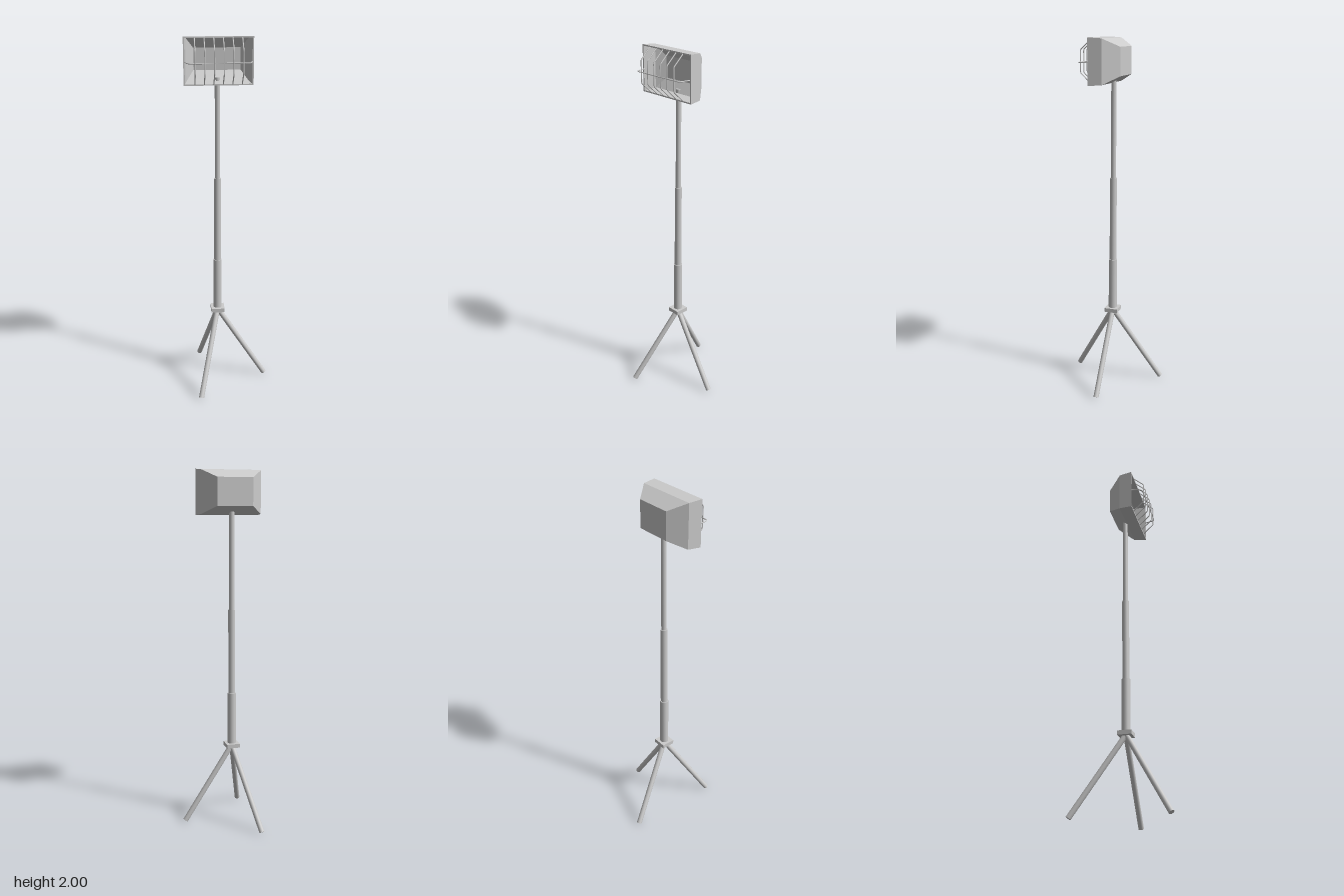
import * as THREE from 'three';

const grey = new THREE.MeshStandardMaterial({ color: 0xcccccc });
const flat = new THREE.MeshStandardMaterial({ color: 0xcccccc, flatShading: true });
const V = (x, y, z) => new THREE.Vector3(x, y, z);

function add(parent, name, geometry, material = grey) {
  const mesh = new THREE.Mesh(geometry, material);
  mesh.name = name;
  parent.add(mesh);
  return mesh;
}

// Cylinder between two points
function rod(parent, name, a, b, radius) {
  const dir = b.clone().sub(a);
  const mesh = add(parent, name, new THREE.CylinderGeometry(radius, radius, dir.length(), 20));
  mesh.position.copy(a).add(b).multiplyScalar(0.5);
  mesh.quaternion.setFromUnitVectors(V(0, 1, 0), dir.normalize());
  return mesh;
}

// Bent wire: straight runs with rounded corners
function wire(parent, name, points, bend) {
  const path = new THREE.CurvePath();
  let from = points[0];
  for (let i = 1; i < points.length - 1; i++) {
    const p = points[i];
    const p0 = p.clone().add(points[i - 1].clone().sub(p).setLength(bend));
    const p1 = p.clone().add(points[i + 1].clone().sub(p).setLength(bend));
    path.add(new THREE.LineCurve3(from, p0));
    path.add(new THREE.QuadraticBezierCurve3(p0, p, p1));
    from = p1;
  }
  path.add(new THREE.LineCurve3(from, points[points.length - 1]));
  return add(parent, name, new THREE.TubeGeometry(path, 60, 0.003, 8));
}

// Rectangular rings [halfWidth, halfHeight, z] joined in order, ends capped
function loftRectangles(rings) {
  const pos = [], index = [];
  for (const [w, h, z] of rings) pos.push(-w, -h, z, w, -h, z, w, h, z, -w, h, z);
  for (let r = 0; r < rings.length - 1; r++) {
    for (let i = 0; i < 4; i++) {
      const a = r * 4 + i, b = r * 4 + (i + 1) % 4;
      index.push(a, b, b + 4, a, b + 4, a + 4);
    }
  }
  const e = (rings.length - 1) * 4;
  index.push(0, 2, 1, 0, 3, 2, e, e + 1, e + 2, e, e + 2, e + 3);
  const g = new THREE.BufferGeometry();
  g.setAttribute('position', new THREE.Float32BufferAttribute(pos, 3));
  g.setIndex(index);
  const out = g.toNonIndexed();
  out.computeVertexNormals();
  return out;
}

export function createModel() {
  const model = new THREE.Group();
  model.name = 'floodlightStand';

  // Tripod legs
  const hub = V(-0.058, 0.445, 0.006);
  const feet = [[-0.154, -0.264], [0.219, 0.015], [-0.172, 0.26]];
  for (const [x, z] of feet) rod(model, 'leg', hub, V(x, 0.008, z), 0.0148);

  // Square collar above the legs
  add(model, 'collar', new THREE.BoxGeometry(0.077, 0.023, 0.077)).position.set(-0.058, 0.447, 0.006);

  // Telescoping mast, leaning very slightly
  const mastAt = (y) => {
    const t = (y - 0.45) / 1.33;
    return V(-0.058 + 0.006 * t, y, 0.006 - 0.008 * t);
  };
  rod(model, 'lowerMast', mastAt(0.45), mastAt(0.755), 0.024);
  rod(model, 'middleMast', mastAt(0.74), mastAt(1.235), 0.0195);
  rod(model, 'upperMast', mastAt(1.22), mastAt(1.785), 0.0145);

  // Lamp head
  const lamp = new THREE.Group();
  lamp.name = 'lamp';
  lamp.position.set(-0.052, 1.877, 0);
  model.add(lamp);

  // Hollow housing: outer shell, rim, then the reflector inside
  add(lamp, 'housing', loftRectangles([
    [0.1, 0.075, -0.07],
    [0.171, 0.118, 0.01],
    [0.181, 0.123, 0.083],
    [0.174, 0.116, 0.083],
    [0.164, 0.111, 0.012],
    [0.125, 0.058, -0.03],
  ]), flat);

  // Wire guard: six upright hoops and one cross wire
  for (let i = 0; i < 6; i++) {
    const x = -0.123 + i * 0.049;
    wire(lamp, 'guardWire', [
      V(x, 0.118, 0.08), V(x, 0.06, 0.143), V(x, -0.06, 0.143), V(x, -0.118, 0.08),
    ], 0.008);
  }
  wire(lamp, 'guardCrossWire', [
    V(-0.172, -0.004, 0.08), V(-0.161, -0.004, 0.142), V(0.161, -0.004, 0.142), V(0.172, -0.004, 0.08),
  ], 0.018);

  return model;
}
